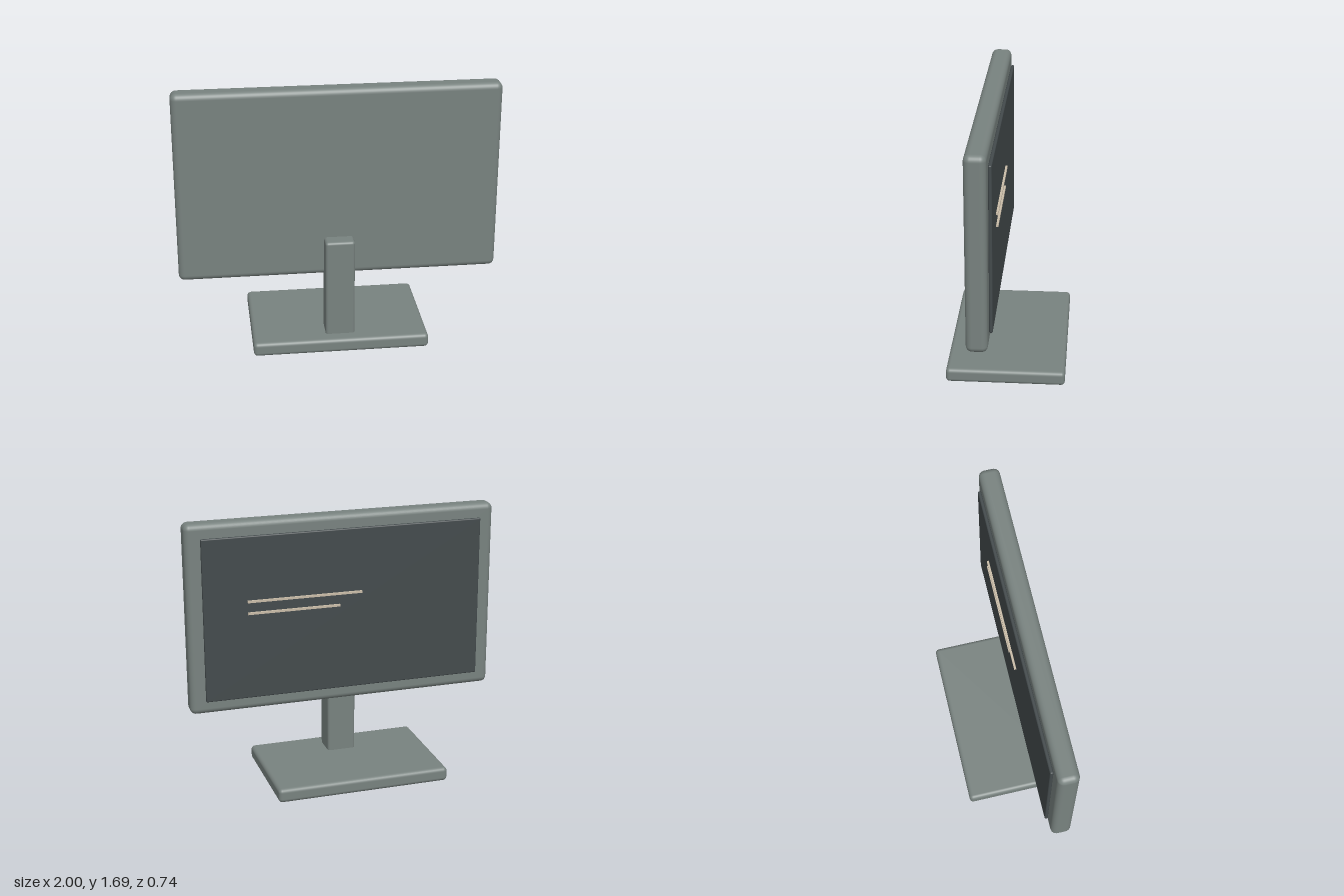
import * as THREE from 'three';
import { RoundedBoxGeometry } from 'three/addons/geometries/RoundedBoxGeometry.js';

const shell = new THREE.MeshStandardMaterial({ color: 0x78827f });
const glass = new THREE.MeshStandardMaterial({ color: 0x434a4c });
const glow = new THREE.MeshStandardMaterial({ color: 0xc9bca8 });

// Box given by its [min, max] range on each axis; radius 0 gives sharp edges.
function block(name, [x0, x1], [y0, y1], [z0, z1], radius, material) {
  const size = [x1 - x0, y1 - y0, z1 - z0];
  const geometry = radius > 0
    ? new RoundedBoxGeometry(...size, 4, radius)
    : new THREE.BoxGeometry(...size);
  const mesh = new THREE.Mesh(geometry, material);
  mesh.name = name;
  mesh.position.set((x0 + x1) / 2, (y0 + y1) / 2, (z0 + z1) / 2);
  return mesh;
}

export function createModel() {
  const model = new THREE.Group();
  model.name = 'monitor';

  // Stand
  const stand = new THREE.Group();
  stand.name = 'stand';
  stand.add(
    block('base', [-0.555, 0.555], [0, 0.09], [-0.37, 0.37], 0.025, shell),
    block('neck', [-0.092, 0.092], [0.05, 0.725], [0.122, 0.287], 0.018, shell),
  );

  // Housing with the display on its -z side
  const display = new THREE.Group();
  display.name = 'display';
  display.add(
    block('housing', [-1, 1], [0.468, 1.688], [0.067, 0.196], 0.038, shell),
    block('screen', [-0.905, 0.905], [0.555, 1.6], [0.044, 0.065], 0.008, glass),
  );

  // Two thin bars on the screen: [end x, centre y]
  [[-0.11, 1.188], [0.035, 1.112]].forEach(([end, y], i) => {
    display.add(block(`screenLine${i + 1}`, [end, 0.627], [y - 0.007, y + 0.007], [0.031, 0.046], 0, glow));
  });

  model.add(stand, display);
  return model;
}
